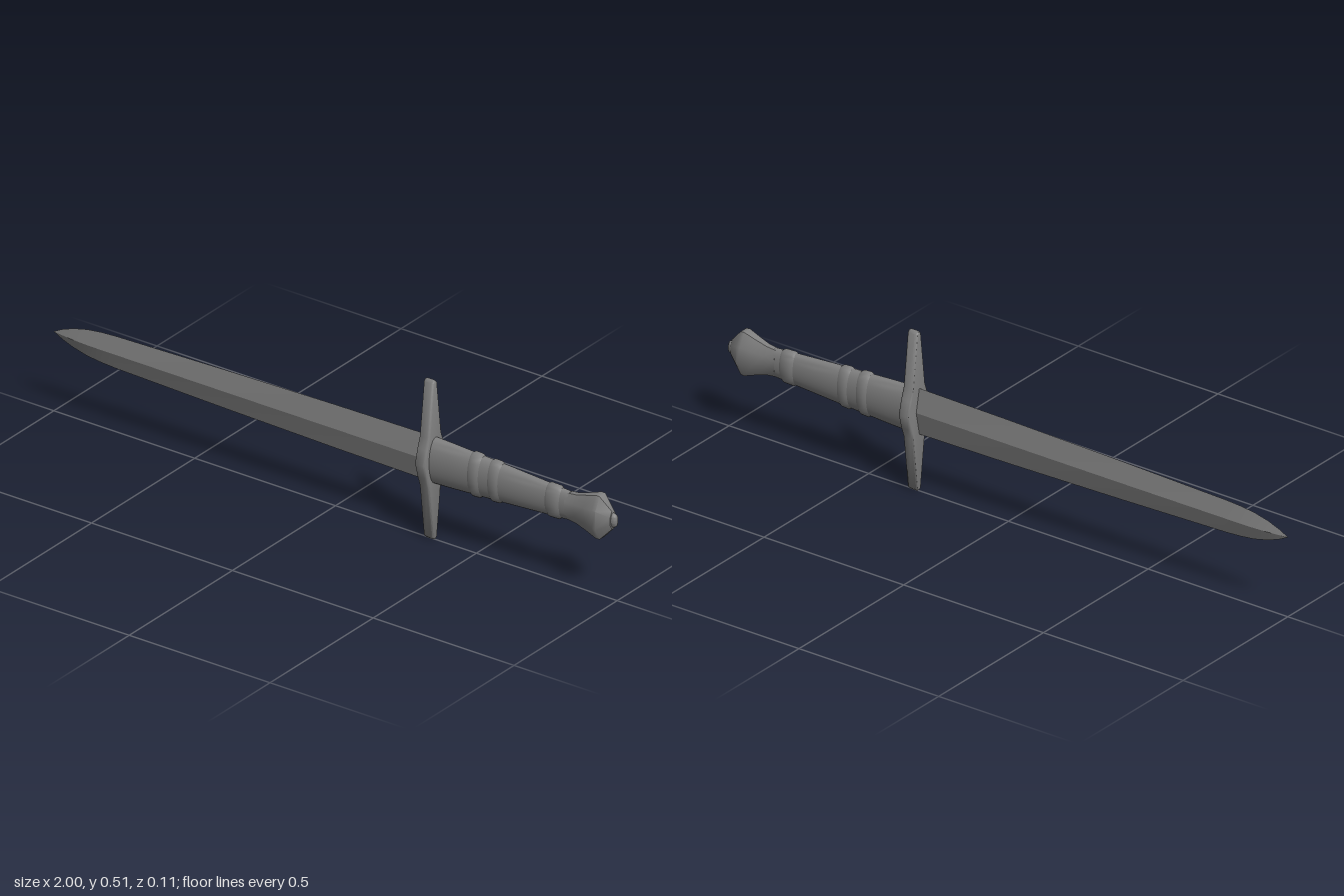
import * as THREE from 'three';
import { toCreasedNormals } from 'three/addons/utils/BufferGeometryUtils.js';

const MID = 0.256; // height of the long axis

// Unit cross-sections as [y, z] loops
const oval = Array.from({ length: 28 }, (_, i) => {
  const a = (i / 28) * Math.PI * 2;
  return [Math.cos(a), Math.sin(a)];
});
const diamond = [[1, 0], [0, 1], [-1, 0], [0, -1]];
const octagon = [[1, 0.4], [0.42, 1], [-0.42, 1], [-1, 0.4], [-1, -0.4], [-0.42, -1], [0.42, -1], [1, -0.4]];

// Lofts a cross-section along x through stations of [x, half height, half depth]
function loft(stations, section, crease) {
  const pos = [];
  const idx = [];
  const n = section.length;
  for (const [x, h, d] of stations) {
    for (const [y, z] of section) pos.push(x, MID + y * h, z * d);
  }
  for (let i = 0; i < stations.length - 1; i++) {
    for (let j = 0; j < n; j++) {
      const a = i * n + j, b = i * n + (j + 1) % n;
      idx.push(a, b, a + n, b, b + n, a + n);
    }
  }
  // End caps
  const last = (stations.length - 1) * n;
  const c = pos.length / 3;
  pos.push(stations[0][0], MID, 0, stations[stations.length - 1][0], MID, 0);
  for (let j = 0; j < n; j++) {
    const k = (j + 1) % n;
    idx.push(c, k, j, c + 1, last + j, last + k);
  }
  const g = new THREE.BufferGeometry();
  g.setAttribute('position', new THREE.Float32BufferAttribute(pos, 3));
  g.setIndex(idx);
  return toCreasedNormals(g, crease);
}

export function createModel() {
  const group = new THREE.Group();
  const material = new THREE.MeshStandardMaterial({ color: 0x808080 });
  const add = (name, geometry) => {
    const mesh = new THREE.Mesh(geometry, material);
    mesh.name = name;
    group.add(mesh);
  };

  // Blade: diamond section tapering to a leaf-shaped point
  add('blade', loft([
    [-1, 0.0005, 0.0005], [-0.97, 0.016, 0.005], [-0.93, 0.031, 0.01], [-0.88, 0.043, 0.013],
    [-0.83, 0.049, 0.014], [-0.78, 0.052, 0.014], [-0.4, 0.062, 0.015], [0, 0.07, 0.015], [0.33, 0.074, 0.015],
  ], diamond, 0.3));

  // Crossguard: round-edged plate, wide in the middle with narrow tips
  const upper = [[0.003, 0.256], [0.01, 0.249], [0.03, 0.08], [0.042, 0.046]];
  const side = [...upper, [0.054, 0], ...upper.map(([z, y]) => [z, -y]).reverse()];
  const outline = [...side, ...side.map(([z, y]) => [-z, y]).reverse()];
  const guard = new THREE.ExtrudeGeometry(new THREE.Shape(outline.map(([z, y]) => new THREE.Vector2(z, y))), {
    depth: 0.018, bevelEnabled: true, bevelThickness: 0.009, bevelSize: 0.005, bevelOffset: -0.005, bevelSegments: 3,
  });
  guard.rotateY(Math.PI / 2).translate(0.328, MID, 0);
  add('crossguard', toCreasedNormals(guard, 0.8));

  // Grip: tapering oval handle
  add('grip', loft([
    [0.345, 0.074, 0.032], [0.42, 0.071, 0.03], [0.49, 0.067, 0.029], [0.6, 0.061, 0.027],
    [0.68, 0.056, 0.024], [0.76, 0.051, 0.021], [0.835, 0.046, 0.019],
  ], oval, 0.6));

  // Raised bands: [start, end, half height, half depth]
  const bands = [
    [0.486, 0.528, 0.072, 0.033], [0.555, 0.598, 0.068, 0.031], [0.755, 0.808, 0.055, 0.025],
  ];
  for (const [a, b, h, d] of bands) {
    add('gripBand', loft([
      [a, h - 0.006, d - 0.005], [a + 0.01, h, d], [b - 0.01, h - 0.001, d - 0.001], [b, h - 0.008, d - 0.006],
    ], oval, 1));
  }

  // Pommel: faceted flare closing to a shallow point, with an oval end button
  add('pommel', loft([
    [0.825, 0.042, 0.02], [0.86, 0.046, 0.022], [0.9, 0.058, 0.029],
    [0.935, 0.07, 0.036], [0.948, 0.069, 0.036], [0.985, 0.029, 0.014],
  ], octagon, 0.75));
  add('pommelButton', loft([
    [0.972, 0.024, 0.012], [0.989, 0.023, 0.011], [0.997, 0.018, 0.009], [1, 0.01, 0.004],
  ], oval, 0.8));

  return group;
}
